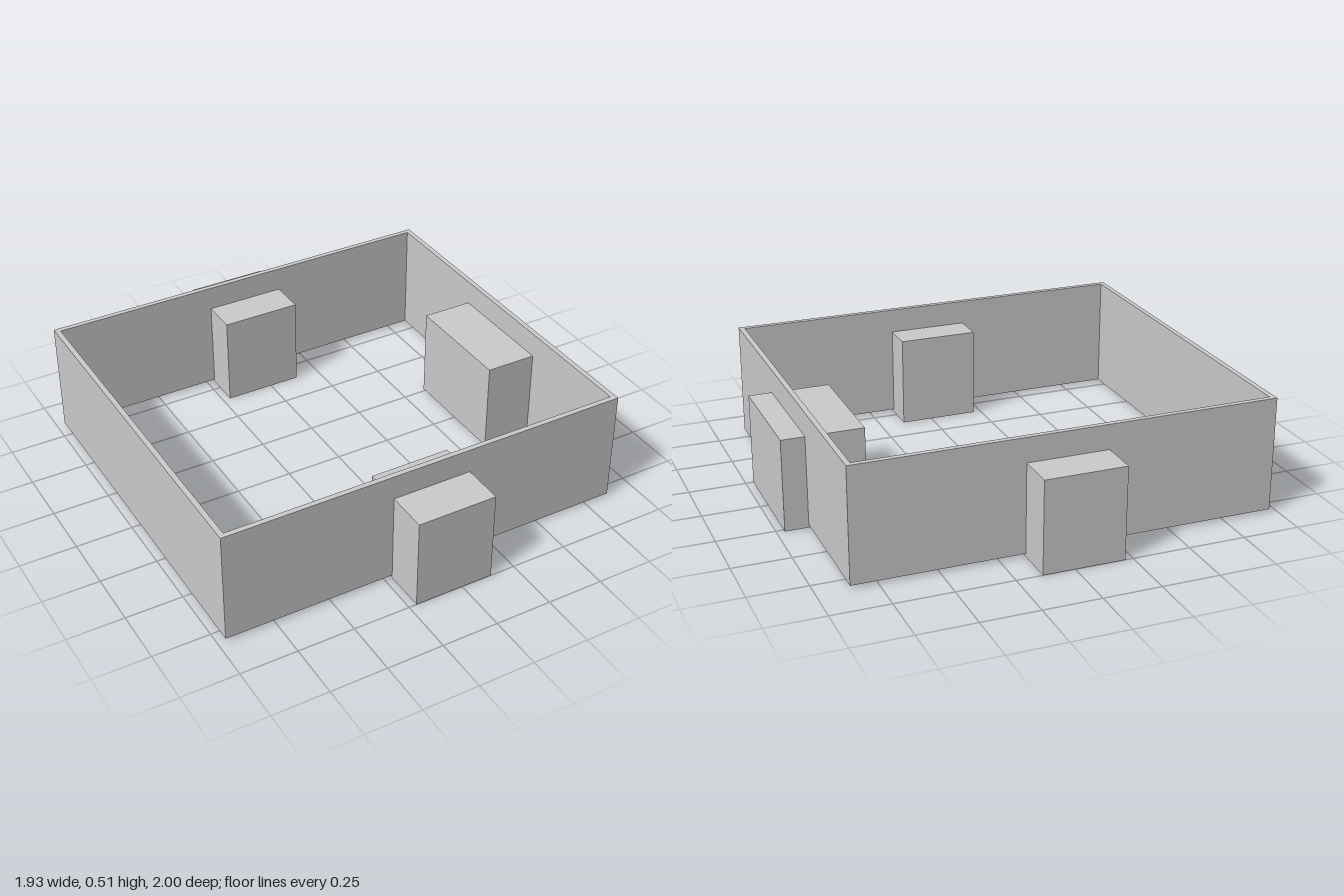
import * as THREE from 'three';

const material = new THREE.MeshStandardMaterial({ color: 0xcccccc, flatShading: true });

// Axis-aligned rectangle outline; shape y becomes -z once laid flat
function rectangle(path, x0, x1, y0, y1) {
  path.moveTo(x0, y0);
  path.lineTo(x1, y0);
  path.lineTo(x1, y1);
  path.lineTo(x0, y1);
  path.closePath();
  return path;
}

export function createModel() {
  const group = new THREE.Group();

  // Thin rectangular wall ring, open at top and bottom
  const x0 = -0.966, x1 = 0.864, z0 = -0.83, z1 = 0.814, t = 0.023;
  const outline = rectangle(new THREE.Shape(), x0, x1, -z1, -z0);
  outline.holes.push(rectangle(new THREE.Path(), x0 + t, x1 - t, -z1 + t, -z0 - t));
  const wallGeometry = new THREE.ExtrudeGeometry(outline, { depth: 0.5, bevelEnabled: false });
  wallGeometry.rotateX(-Math.PI / 2);
  const walls = new THREE.Mesh(wallGeometry, material);
  walls.name = 'perimeterWalls';
  walls.position.y = 0.013;
  group.add(walls);

  // Blocks that straddle the walls: name, width, depth, centre x, centre z
  const height = 0.405;
  const blocks = [
    ['frontBlock', 0.354, 0.354, -0.039, 0.823],
    ['backBlock', 0.354, 0.354, -0.039, -0.823],
    ['leftBlock', 0.354, 0.516, 0.789, -0.008],
  ];
  for (const [name, width, depth, x, z] of blocks) {
    const block = new THREE.Mesh(new THREE.BoxGeometry(width, height, depth), material);
    block.name = name;
    block.position.set(x, height / 2, z);
    group.add(block);
  }

  return group;
}
